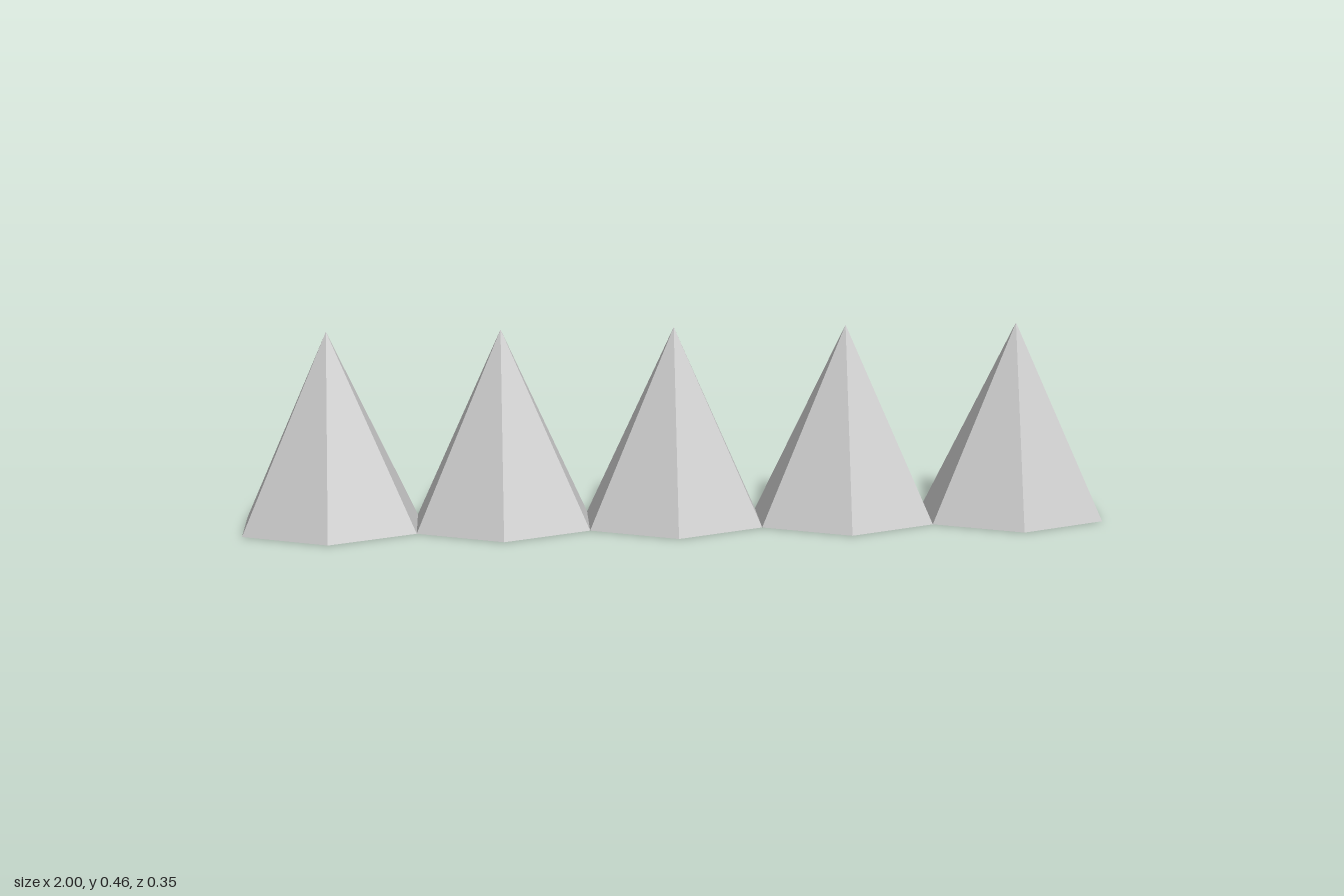
import * as THREE from 'three';

export function createModel() {
  const model = new THREE.Group();
  model.name = 'spikeRow';

  const count = 5, spacing = 0.4, height = 0.46;
  const radius = spacing / Math.sqrt(3); // hexagon whose flat sides are one spacing apart
  const depth = 0.175;                   // front and back corners

  const material = new THREE.MeshStandardMaterial({
    color: 0xcccccc, flatShading: true, side: THREE.DoubleSide,
  });

  // Hollow six-sided spike, open underneath, flattened front to back
  const spike = new THREE.ConeGeometry(radius, height, 6, 1, true);
  spike.scale(1, 1, depth / radius);
  spike.translate(0, height / 2, 0);

  // Row of spikes touching side to side
  for (let i = 0; i < count; i++) {
    const mesh = new THREE.Mesh(spike, material);
    mesh.name = `spike${i + 1}`;
    mesh.position.x = (i - (count - 1) / 2) * spacing;
    model.add(mesh);
  }
  return model;
}
